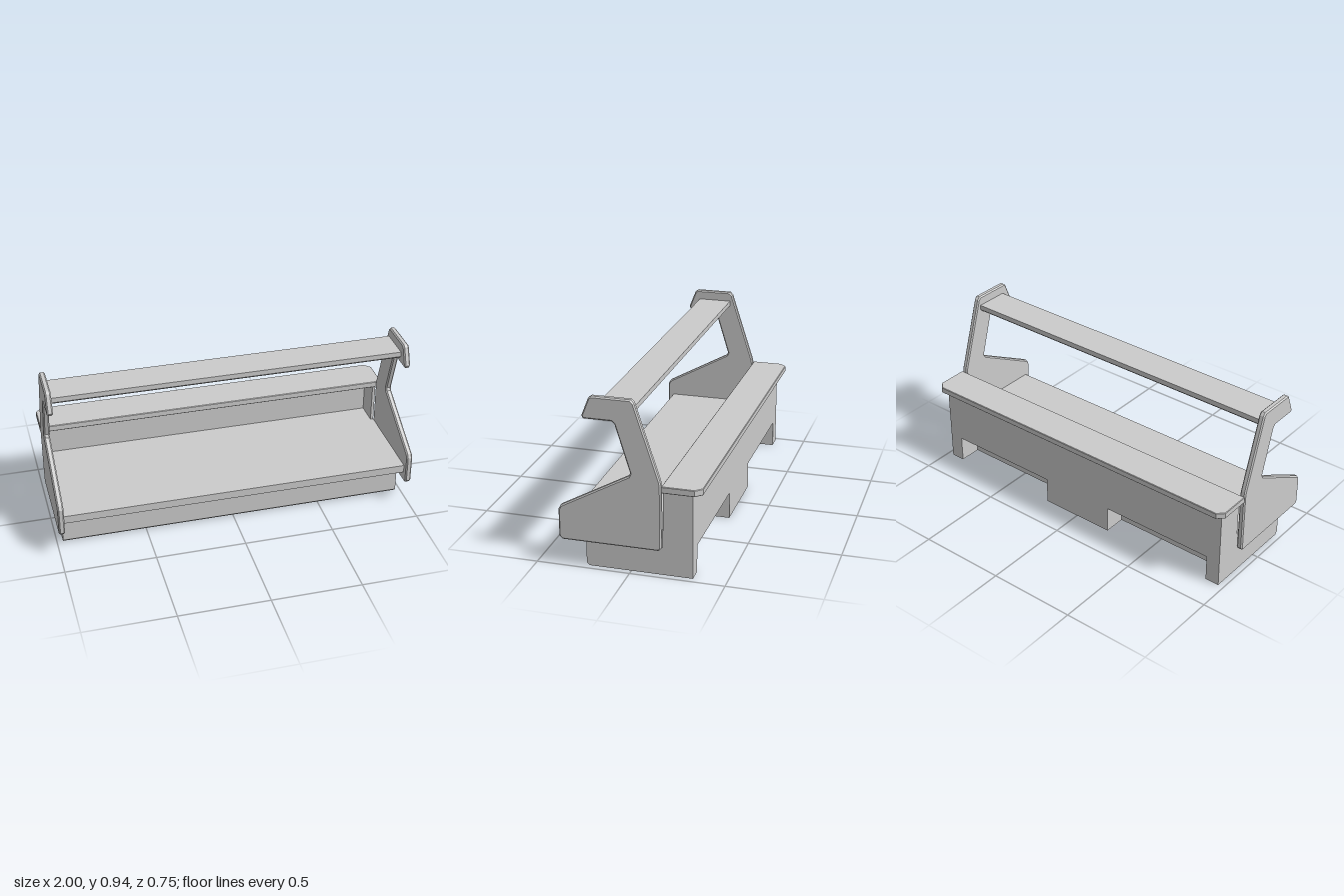
import * as THREE from 'three';

export function createModel() {
  const group = new THREE.Group();
  const material = new THREE.MeshStandardMaterial({ color: 0xcccccc });

  const add = (name, geometry) => {
    const mesh = new THREE.Mesh(geometry, material);
    mesh.name = name;
    group.add(mesh);
    return mesh;
  };
  // Box given by its lower and upper limits on each axis
  const box = (name, [x0, x1], [y0, y1], [z0, z1]) =>
    add(name, new THREE.BoxGeometry(x1 - x0, y1 - y0, z1 - z0)
      .translate((x0 + x1) / 2, (y0 + y1) / 2, (z0 + z1) / 2));
  const outline = (points) => new THREE.Shape(points.map(([a, b]) => new THREE.Vector2(a, b)));
  // Extrude a (z, y) profile between x0 and x1, with optional bevelled edges
  const sideways = (name, points, x0, x1, bevel = 0) => {
    const geometry = new THREE.ExtrudeGeometry(outline(points), {
      depth: x1 - x0 - 2 * bevel, bevelEnabled: bevel > 0, bevelSegments: 1,
      bevelSize: bevel, bevelThickness: bevel, bevelOffset: -bevel,
    });
    geometry.rotateY(-Math.PI / 2).translate(x1 - bevel, 0, 0);
    return add(name, geometry);
  };

  const W = 0.967; // half width of the body

  // Hooked end panels
  const panel = [
    [-0.155, 0.145], [0.358, 0.145], [0.375, 0.162], [0.375, 0.312], [0.362, 0.335],
    [-0.002, 0.535], [-0.01, 0.552], [0.068, 0.805], [0.082, 0.817], [0.23, 0.817],
    [0.238, 0.832], [0.2, 0.928], [0.185, 0.938], [-0.018, 0.938], [-0.033, 0.922],
    [-0.163, 0.525], [-0.168, 0.5], [-0.168, 0.16],
  ];
  sideways('leftEndPanel', panel, W, 1, 0.007);
  sideways('rightEndPanel', panel, -1, -W, 0.007);

  // Body end walls, low under the counter and tall at the back
  const endWall = [
    [-0.325, 0], [0.225, 0], [0.24, 0.015], [0.24, 0.2], [-0.17, 0.2], [-0.17, 0.465], [-0.325, 0.465],
  ];
  sideways('leftEndWall', endWall, 0.95, W);
  sideways('rightEndWall', endWall, -W, -0.95);

  // Counter and the front panel beneath it
  box('counter', [-W, W], [0.2, 0.245], [-0.17, 0.34]);
  box('counterBack', [-0.95, 0.95], [0.2, 0.245], [-0.3, -0.17]);
  sideways('frontPanel', [[0.24, 0.2], [0.24, 0.015], [0.225, 0], [0.22, 0], [0.22, 0.2]], -0.95, 0.95);

  // Back wall with two openings at the floor
  const [inner, outer, top] = [0.22, 0.886, 0.15];
  const wall = outline([
    [-0.95, 0], [-outer, 0], [-outer, top], [-inner, top], [-inner, 0],
    [inner, 0], [inner, top], [outer, top], [outer, 0], [0.95, 0], [0.95, 0.465], [-0.95, 0.465],
  ]);
  add('backWall', new THREE.ExtrudeGeometry(wall, { depth: 0.025, bevelEnabled: false })
    .translate(0, 0, -0.325));

  // Recess lining behind each opening
  for (const side of [-1, 1]) {
    const span = (a, b) => (side > 0 ? [a, b] : [-b, -a]);
    const depth = [-0.3, -0.2];
    box('recessBack', span(inner - 0.015, outer + 0.015), [0, top + 0.015], [-0.2, -0.185]);
    box('recessCeiling', span(inner - 0.015, outer + 0.015), [top, top + 0.015], depth);
    box('recessInnerSide', span(inner - 0.015, inner), [0, top], depth);
    box('recessOuterSide', span(outer, outer + 0.015), [0, top], depth);
  }

  // Rear ledge with clipped back corners
  const ledge = outline([
    [-1, 0.17], [1, 0.17], [1, 0.342], [0.965, 0.377], [-0.965, 0.377], [-1, 0.342],
  ]);
  add('rearLedge', new THREE.ExtrudeGeometry(ledge, {
    depth: 0.029, bevelEnabled: true, bevelSegments: 1,
    bevelSize: 0.003, bevelThickness: 0.003, bevelOffset: -0.003,
  }).rotateX(-Math.PI / 2).translate(0, 0.468, 0));

  // Overhead shelf between the end panels
  sideways('overheadShelf', [
    [-0.02, 0.885], [0.17, 0.885], [0.17, 0.857], [0.158, 0.845], [-0.008, 0.845], [-0.02, 0.857],
  ], -W, W);

  return group;
}
